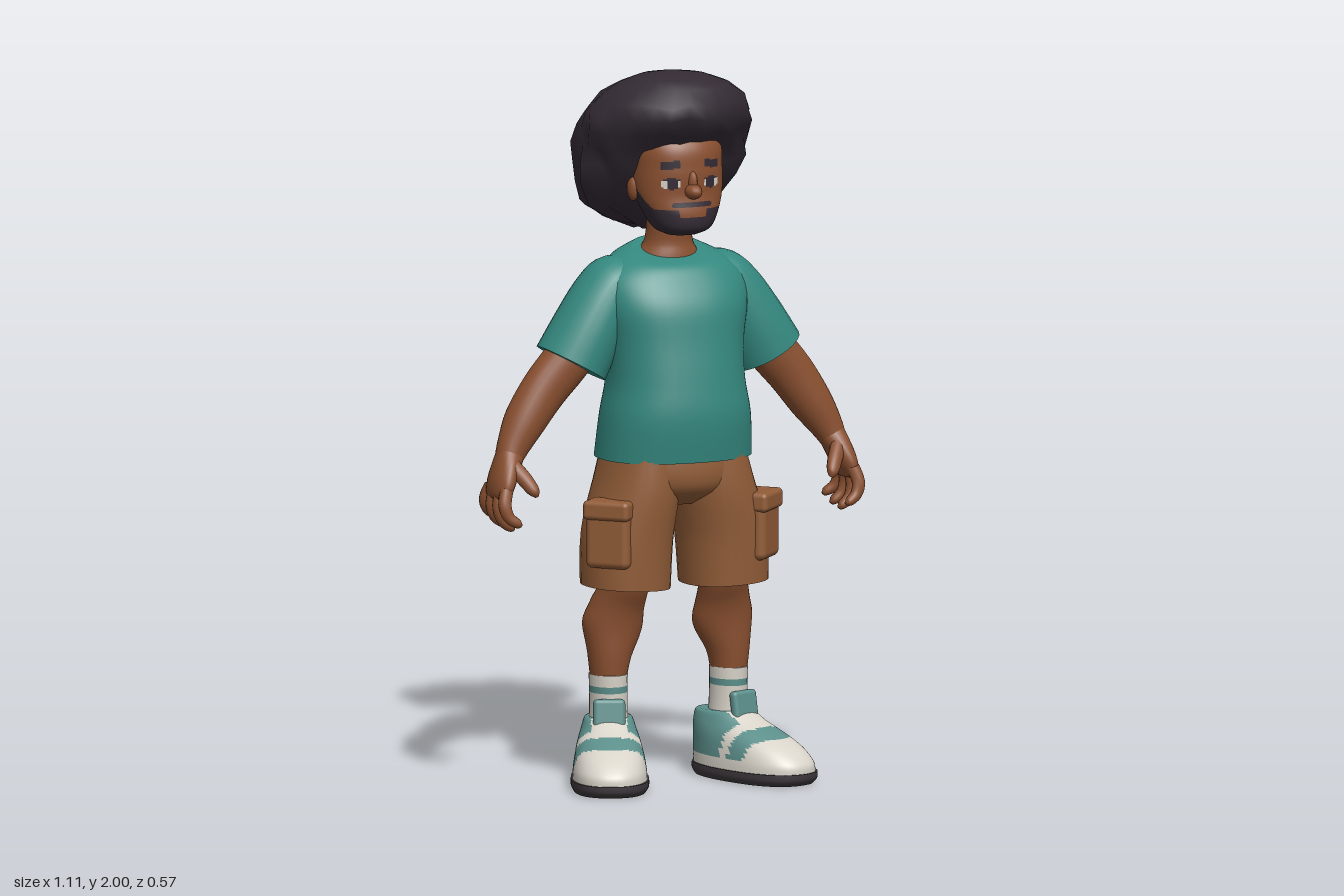
import * as THREE from 'three';
import { RoundedBoxGeometry } from 'three/addons/geometries/RoundedBoxGeometry.js';

const mat = (name, color) => Object.assign(new THREE.MeshStandardMaterial({ color }), { name });

// Catmull-Rom blend of whole ring records
function blend(rings, t) {
  const last = rings.length - 1, i = Math.min(Math.floor(t), last - 1), f = t - i;
  const at = k => rings[Math.max(0, Math.min(last, k))];
  const [a, b, c, d] = [at(i - 1), at(i), at(i + 1), at(i + 2)];
  return [0, 1, 2, 3, 4, 5, 6].map(k => {
    const [p, q, r, s] = [a, b, c, d].map(v => v[k] || 0);
    return q + 0.5 * f * (r - p + f * (2 * p - 5 * q + 4 * r - s + f * (3 * (q - r) + s - p)));
  });
}

// Skin over rings [x, y, z, radiusAcross, radiusZ, tilt, taper]; pick() chooses a material per face
function loft(rings, { n = 24, sub = 4, power = 1, pick = () => 0, warp } = {}) {
  const pos = [], buckets = [], rows = (rings.length - 1) * sub;
  const soft = v => Math.sign(v) * Math.abs(v) ** power;
  const centres = [];
  for (let i = 0; i <= rows; i++) {
    const t = i / sub, e = 0.05;
    const [x, y, z, ru, rz, tilt, taper] = blend(rings, t);
    const p = blend(rings, Math.max(0, t - e)), q = blend(rings, Math.min(rings.length - 1, t + e));
    const len = Math.hypot(q[0] - p[0], q[1] - p[1]) || 1;
    const wx = (q[0] - p[0]) / len, wy = (q[1] - p[1]) / len;
    centres.push([x, y, z]);
    for (let j = 0; j < n; j++) {
      const a = j / n * Math.PI * 2, c = soft(Math.cos(a)) * ru * (1 + taper * Math.sin(a)), s = soft(Math.sin(a));
      let pt = [x - wy * c, y + wx * c + tilt * s, z + s * rz];
      if (warp) pt = warp(pt, i, j, [x, y, z]);
      pos.push(...pt);
    }
  }
  const add = (a, b, c, m) => (buckets[m] ??= []).push(a, b, c);
  const mid = (a, b) => [0, 1, 2].map(k => (pos[a * 3 + k] + pos[b * 3 + k]) / 2);
  for (let i = 0; i < rows; i++) for (let j = 0; j < n; j++) {
    const a = i * n + j, b = i * n + (j + 1) % n, c = a + n, d = b + n, m = pick(...mid(a, d));
    add(a, b, c, m); add(b, d, c, m);
  }
  // flat end caps
  for (const i of [0, rows]) {
    const base = pos.length / 3, m = pick(...centres[i]);
    pos.push(...pos.slice(i * n * 3, (i + 1) * n * 3), ...centres[i]);
    for (let j = 0; j < n; j++) {
      const a = base + j, b = base + (j + 1) % n;
      i ? add(a, b, base + n, m) : add(b, a, base + n, m);
    }
  }
  const g = new THREE.BufferGeometry(), index = [];
  buckets.forEach((list, m) => { g.addGroup(index.length, list.length, m); for (const v of list) index.push(v); });
  g.setAttribute('position', new THREE.Float32BufferAttribute(pos, 3));
  g.setIndex(index);
  g.computeVertexNormals();
  return g;
}

// Ring centred on x = 0, given by its front and back z
const band = (y, rx, front, back, tilt = 0, taper = 0) => [0, y, (front + back) / 2, rx, (front - back) / 2, tilt, taper];
const hash = (i, j) => { const v = Math.sin(i * 127.1 + j * 311.7 + 5) * 43758.5453; return v - Math.floor(v); };

export function createModel() {
  const model = new THREE.Group();
  model.name = 'figure';
  const skin = mat('skin', 0x8a5030), hair = mat('hair', 0x342b35), teal = mat('shirt teal', 0x34887f),
    brown = mat('shorts brown', 0x925d38), white = mat('off white', 0xd9d4ca),
    shoeTeal = mat('shoe teal', 0x5c8f8b), dark = mat('sole', 0x3e383c);
  const put = (name, geo, material, parent = model) => {
    const m = new THREE.Mesh(geo, material);
    m.name = name;
    parent.add(m);
    return m;
  };

  // Head, with brows, eyes and beard as coloured faces
  const face = (x, y, z) => {
    const ax = Math.abs(x);
    if (z < 0) return 0;
    if (ax > 0.035 && ax < 0.088 && Math.abs(y - 1.757 + (ax - 0.06) * 0.1) < 0.011) return 1;
    if (((ax - 0.06) / 0.027) ** 2 + ((y - 1.705) / 0.017) ** 2 < 1)
      return Math.abs(ax - 0.058) < 0.014 || y > 1.713 ? 1 : 2;
    if (ax < 0.058 && y > 1.638 && y < 1.652 && z > 0.08) return 1;
    if (ax < 0.04 && y > 1.61 && y < 1.639 && z > 0.08) return 0;
    return y < 1.632 + Math.max(0, 0.11 - z) * 0.9 ? 1 : 0;
  };
  put('head', loft([
    band(1.553, 0.045, 0.12, 0.03), band(1.572, 0.08, 0.155, 0.0), band(1.615, 0.105, 0.163, -0.03),
    band(1.67, 0.125, 0.155, -0.06), band(1.74, 0.13, 0.157, -0.1), band(1.81, 0.125, 0.145, -0.1),
    band(1.88, 0.08, 0.08, -0.06),
  ], { n: 128, sub: 16, power: 0.9, pick: face }), [skin, hair, white]);
  const nose = put('nose', new THREE.SphereGeometry(1, 16, 12), skin);
  nose.position.set(0, 1.682, 0.158);
  nose.scale.set(0.024, 0.022, 0.036);
  const bridge = put('noseBridge', new THREE.SphereGeometry(1, 12, 10), skin);
  bridge.position.set(0, 1.705, 0.152);
  bridge.scale.set(0.014, 0.035, 0.02);
  put('neck', loft([[0, 1.42, -0.03, 0.13, 0.09], [0, 1.485, -0.025, 0.09, 0.075],
    [0, 1.53, -0.015, 0.068, 0.058], [0, 1.62, 0.0, 0.068, 0.058]]), skin);

  // Big clumpy hair
  put('hair', loft([
    band(1.548, 0.05, -0.1, -0.18), band(1.575, 0.13, -0.06, -0.215), band(1.625, 0.195, -0.01, -0.25),
    band(1.685, 0.235, 0.05, -0.27), band(1.74, 0.245, 0.08, -0.275), band(1.79, 0.248, 0.11, -0.268),
    band(1.84, 0.24, 0.165, -0.25), band(1.885, 0.228, 0.195, -0.225), band(1.93, 0.205, 0.2, -0.185),
    band(1.97, 0.155, 0.175, -0.13), band(1.99, 0.1, 0.12, -0.08), band(2.0, 0.03, 0.04, -0.02),
  ], {
    n: 26, sub: 1, warp: ([x, y, z], i, j, c) => {
      const amp = y < 1.95 && y > 1.56 ? (z > 0.05 ? 0.03 : 0.13) : 0.02;
      const k = 1 + amp * (hash(i, j) + (j % 2 ? 0.15 : -0.15) - 0.42);
      return [x * k, y + (y < 1.95 ? (hash(j, i) - 0.5) * 0.02 : 0), c[2] + (z - c[2]) * k];
    },
  }), hair);

  // Shirt body
  put('shirt', loft([
    band(0.92, 0.222, 0.195, -0.165), band(1.04, 0.212, 0.21, -0.15), band(1.14, 0.195, 0.2, -0.138),
    band(1.25, 0.198, 0.182, -0.14), band(1.35, 0.215, 0.165, -0.14), band(1.425, 0.21, 0.13, -0.14, -0.005),
    band(1.475, 0.165, 0.1, -0.13, -0.015), band(1.5, 0.105, 0.065, -0.095, -0.025),
  ], { n: 40, power: 0.88 }), teal);

  // Seat of the shorts
  put('shortsSeat', loft([band(0.79, 0.1, 0.1, -0.07), band(0.83, 0.17, 0.165, -0.125),
    band(0.88, 0.198, 0.185, -0.145), band(0.96, 0.205, 0.18, -0.145)], { n: 32, power: 0.9 }), brown);

  for (const s of [1, -1]) {
    const side = s > 0 ? 'left' : 'right';
    const tube = (name, rings, material, options, parent = model) =>
      put(side + name, loft(rings.map(([x, ...rest]) => [x * s, ...rest]), options), material, parent);

    const ear = put(side + 'Ear', new THREE.SphereGeometry(1, 12, 10), skin);
    ear.position.set(0.127 * s, 1.68, 0.03);
    ear.scale.set(0.016, 0.035, 0.024);

    // Sleeve, arm and hand
    tube('Sleeve', [[0.1, 1.455, -0.03, 0.03, 0.06], [0.15, 1.42, -0.03, 0.075, 0.095],
      [0.195, 1.365, -0.025, 0.09, 0.103], [0.245, 1.28, -0.02, 0.1, 0.107], [0.295, 1.19, -0.018, 0.107, 0.108]], teal);
    tube('Arm', [[0.24, 1.28, -0.02, 0.07, 0.06], [0.31, 1.195, -0.02, 0.07, 0.058], [0.375, 1.12, -0.022, 0.067, 0.057],
      [0.435, 1.035, -0.02, 0.06, 0.058], [0.475, 0.97, -0.008, 0.047, 0.046], [0.497, 0.925, 0, 0.036, 0.042]], skin);
    tube('Palm', [[0.48, 0.96, -0.004, 0.04, 0.038], [0.502, 0.915, 0.005, 0.036, 0.058],
      [0.52, 0.87, 0.012, 0.032, 0.068], [0.53, 0.835, 0.012, 0.024, 0.064], [0.532, 0.825, 0.012, 0.01, 0.05]], skin);
    [-0.044, -0.008, 0.03, 0.064].forEach((z, i) => {
      const l = [0.8, 0.95, 1, 0.85][i], spread = (z - 0.01) * 0.25;
      tube('Finger' + (i + 1), [[0.525, 0.86, z, 0.019, 0.019], [0.537, 0.86 - 0.05 * l, z + spread, 0.019, 0.018],
        [0.528, 0.86 - 0.09 * l, z + spread * 1.5, 0.017, 0.016], [0.503, 0.86 - 0.113 * l, z + spread * 2, 0.013, 0.014],
        [0.492, 0.86 - 0.118 * l, z + spread * 2, 0.004, 0.005]], skin, { n: 12 });
    });
    tube('Thumb', [[0.5, 0.925, 0.03, 0.024, 0.024], [0.472, 0.885, 0.065, 0.022, 0.022],
      [0.455, 0.855, 0.086, 0.018, 0.018], [0.447, 0.838, 0.093, 0.006, 0.007]], skin, { n: 12 });

    // Shorts leg and cargo pocket
    tube('ShortsLeg', [[0.149, 0.56, 0.026, 0.122, 0.133], [0.142, 0.7, 0.022, 0.122, 0.146],
      [0.115, 0.83, 0.02, 0.11, 0.158], [0.1, 0.94, 0.018, 0.095, 0.155]], brown, { n: 28, power: 0.9 });
    const pocket = new THREE.Group();
    pocket.name = side + 'Pocket';
    pocket.position.set(0.228 * s, 0.71, 0.105);
    pocket.rotation.y = s * 0.8;
    model.add(pocket);
    put('pocketBag', new RoundedBoxGeometry(0.13, 0.17, 0.07, 3, 0.02), brown, pocket);
    put('pocketFlap', new RoundedBoxGeometry(0.138, 0.055, 0.088, 3, 0.014), brown, pocket).position.y = 0.08;

    // Lower leg and sock
    tube('Leg', [[0.183, 0.28, -0.015, 0.048, 0.056], [0.18, 0.36, -0.015, 0.062, 0.062], [0.168, 0.44, -0.025, 0.086, 0.076],
      [0.16, 0.5, -0.008, 0.078, 0.072], [0.15, 0.56, 0.02, 0.07, 0.07], [0.142, 0.63, 0.02, 0.08, 0.08]], skin);
    tube('Sock', [[0.18, 0.13, -0.018, 0.055, 0.064], [0.182, 0.22, -0.017, 0.052, 0.062], [0.183, 0.308, -0.015, 0.053, 0.063]],
      [white, shoeTeal], { sub: 16, pick: (x, y) => (y > 0.258 && y < 0.278 ? 1 : 0) });

    // Shoe, turned outwards
    const shoe = new THREE.Group();
    shoe.name = side + 'Shoe';
    shoe.position.set(0.18 * s, 0, -0.02);
    shoe.rotation.y = s * 0.38;
    model.add(shoe);
    const panel = (x, y, z) => {
      const arc = z + x * x * 5;
      if (y < 0.064 || arc > 0.21) return 0;
      if (arc > 0.15) return 1;
      return z > 0.04 && (Math.abs(x) < 0.05 || arc > 0.115) ? 0 : 1;
    };
    put('sole', loft([band(0, 0.1, 0.3, -0.1, 0, 0.14), band(0.015, 0.108, 0.313, -0.11, 0, 0.14),
      band(0.034, 0.108, 0.315, -0.11, 0, 0.14)], { n: 40, power: 0.85 }), dark, shoe);
    put('upper', loft([band(0.032, 0.104, 0.311, -0.107, 0, 0.13), band(0.06, 0.102, 0.305, -0.108, 0, 0.12),
      band(0.095, 0.096, 0.265, -0.108, 0, 0.1), band(0.125, 0.088, 0.205, -0.107, 0, 0.05),
      band(0.155, 0.077, 0.13, -0.104), band(0.18, 0.068, 0.085, -0.098), band(0.186, 0.06, 0.07, -0.088)],
    { n: 72, sub: 8, power: 0.88, pick: panel }), [white, shoeTeal], shoe);
    const tongue = put('tongue', new RoundedBoxGeometry(0.09, 0.1, 0.028, 3, 0.012), shoeTeal, shoe);
    tongue.position.set(0, 0.193, 0.068);
    tongue.rotation.x = -0.15;
  }
  return model;
}
